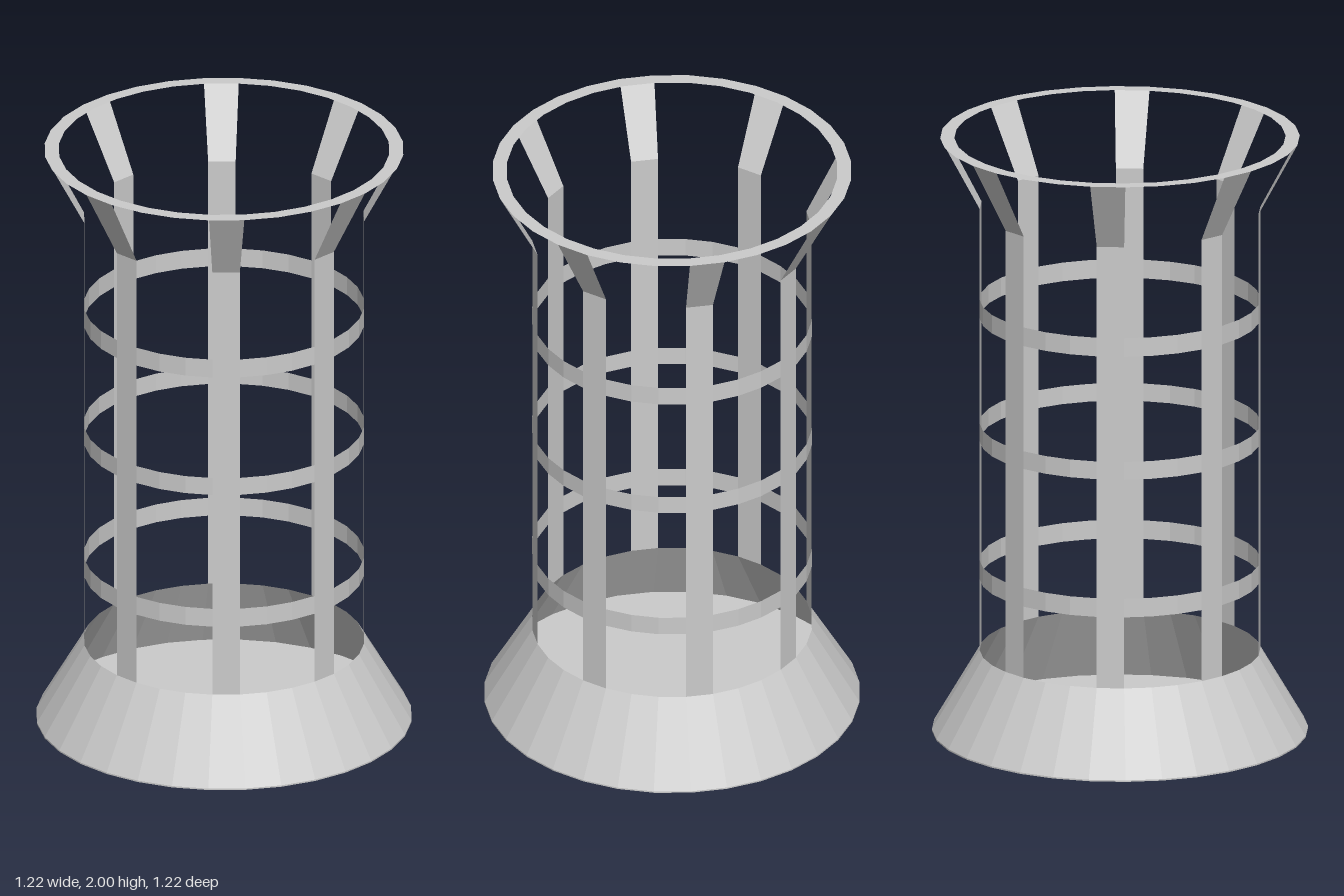
import * as THREE from 'three';

const SIDES = 32;
const STEP = (Math.PI * 2) / SIDES;
const R = 0.455;        // cage radius
const R_BASE = 0.61;    // foot radius
const R_RIM = 0.583;    // top rim radius
const Y_FOOT = 0.27;    // top of the foot
const Y_FLARE = 1.76;   // where the slats bend outward
const LIP = 0.005;

const material = new THREE.MeshStandardMaterial({
  color: 0xcccccc, flatShading: true, side: THREE.DoubleSide,
});

function add(parent, name, geometry, y = 0) {
  const mesh = new THREE.Mesh(geometry, material);
  mesh.name = name;
  mesh.position.y = y;
  parent.add(mesh);
  return mesh;
}

// Open faceted wall between two heights, covering `count` sides from side `first`
function wall(parent, name, rTop, rBottom, y0, y1, first = 0, count = SIDES) {
  const geometry = new THREE.CylinderGeometry(
    rTop, rBottom, y1 - y0, count, 1, true, first * STEP, count * STEP);
  return add(parent, name, geometry, (y0 + y1) / 2);
}

export function createModel() {
  const model = new THREE.Group();
  model.name = 'cageBasket';

  // Hollow conical foot with a thin floor plate
  const foot = new THREE.Group();
  foot.name = 'foot';
  model.add(foot);
  wall(foot, 'footCone', R, R_BASE, LIP, Y_FOOT);
  add(foot, 'floorPlate', new THREE.CylinderGeometry(R_BASE, R_BASE, LIP, SIDES), LIP / 2);

  // Eight upright slats, each one side wide, flaring out at the top
  const hoops = [[0.51, 0.573], [0.975, 1.035], [1.39, 1.453]];
  for (let i = 0; i < 8; i++) {
    const slat = new THREE.Group();
    slat.name = 'slat';
    model.add(slat);
    const first = i * 4;
    wall(slat, 'slatUpright', R, R, Y_FOOT, Y_FLARE, first - 1, 1);
    wall(slat, 'slatFlare', R_RIM, R, Y_FLARE, 2, first - 1, 1);

    // Hoop bands fill the gap to the next slat
    for (const [y0, y1] of hoops) wall(model, 'hoopSection', R, R, y0, y1, first, 3);
  }

  // Flat ring joining the slat tips
  const rim = new THREE.RingGeometry(0.537, R_RIM, SIDES, 1);
  rim.rotateX(-Math.PI / 2);
  add(model, 'topRim', rim, 2);

  return model;
}
